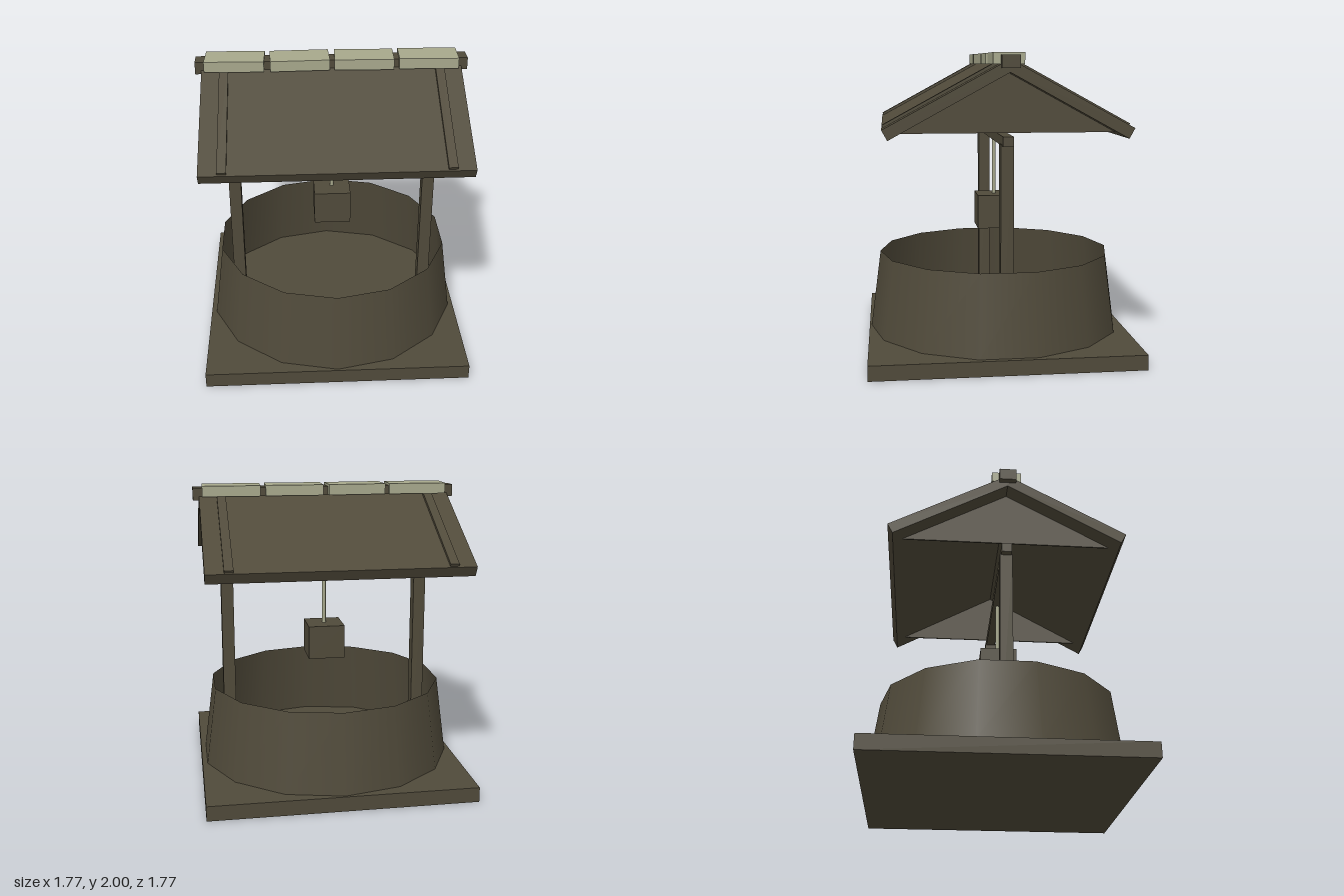
import * as THREE from 'three';

export function createModel() {
  const model = new THREE.Group();
  model.name = 'wishingWell';
  const dark = new THREE.MeshStandardMaterial({ name: 'darkWood', color: 0x504a3a });
  const darkOpen = new THREE.MeshStandardMaterial({ name: 'darkStone', color: 0x504a3a, side: THREE.DoubleSide });
  const pale = new THREE.MeshStandardMaterial({ name: 'paleTile', color: 0xa7a88c });

  const add = (name, geometry, material, x = 0, y = 0, z = 0, parent = model) => {
    const mesh = new THREE.Mesh(geometry, material);
    mesh.name = name;
    mesh.position.set(x, y, z);
    parent.add(mesh);
    return mesh;
  };
  // Box given by its bottom and top heights
  const block = (name, w, y0, y1, d, material, x = 0, z = 0) =>
    add(name, new THREE.BoxGeometry(w, y1 - y0, d), material, x, (y0 + y1) / 2, z);
  // A (z, y) profile extruded along x and centred on x = 0
  const alongX = (points, width) => {
    const shape = new THREE.Shape(points.map(([z, y]) => new THREE.Vector2(z, y)));
    const geometry = new THREE.ExtrudeGeometry(shape, { depth: width, bevelEnabled: false });
    return geometry.translate(0, 0, -width / 2).rotateY(-Math.PI / 2);
  };

  // Base slab and open, tapered well wall
  block('base', 1.77, 0, 0.1, 1.77, dark);
  add('wellWall', new THREE.CylinderGeometry(0.8, 0.872, 0.535, 14, 1, true), darkOpen, 0, 0.3675);

  // Posts and cross beam
  for (const side of [-1, 1]) block('post', 0.083, 0.1, 1.435, 0.083, dark, side * 0.675);
  block('crossBeam', 1.52, 1.425, 1.487, 0.066, dark);

  // Rope and bucket
  add('rope', new THREE.CylinderGeometry(0.013, 0.013, 0.4, 8), pale, 0, 1.23);
  block('bucket', 0.25, 0.8, 1.03, 0.25, dark);

  // Two roof slopes, each with a pair of battens
  const slab = alongX([[0, 1.88], [0.74, 1.475], [0.775, 1.54], [0, 1.96]], 1.69);
  const batten = alongX([[0, 1.955], [0.763, 1.542], [0.773, 1.561], [0, 1.983]], 0.058);
  for (const turn of [0, Math.PI]) {
    const slope = new THREE.Group();
    slope.name = 'roofSlope';
    slope.rotation.y = turn;
    add('roofSlab', slab, dark, 0, 0, 0, slope);
    for (const side of [-1, 1]) add('batten', batten, dark, side * 0.7, 0, 0, slope);
    model.add(slope);
  }

  // Thin gable panels closing the roof ends
  const gable = alongX([[-0.68, 1.508], [0.68, 1.508], [0, 1.885]], 0.01);
  for (const side of [-1, 1]) add('gable', gable, dark, side * 0.72);

  // Ridge beam topped with slightly crooked tiles
  block('ridgeBeam', 1.77, 1.905, 1.985, 0.112, dark);
  [-0.03, 0.03, -0.03, -0.03].forEach((yaw, i) => {
    const tile = block('ridgeTile', 0.385, 1.93, 2, 0.195, pale, -0.63 + i * 0.42);
    tile.rotation.y = yaw;
  });

  return model;
}
